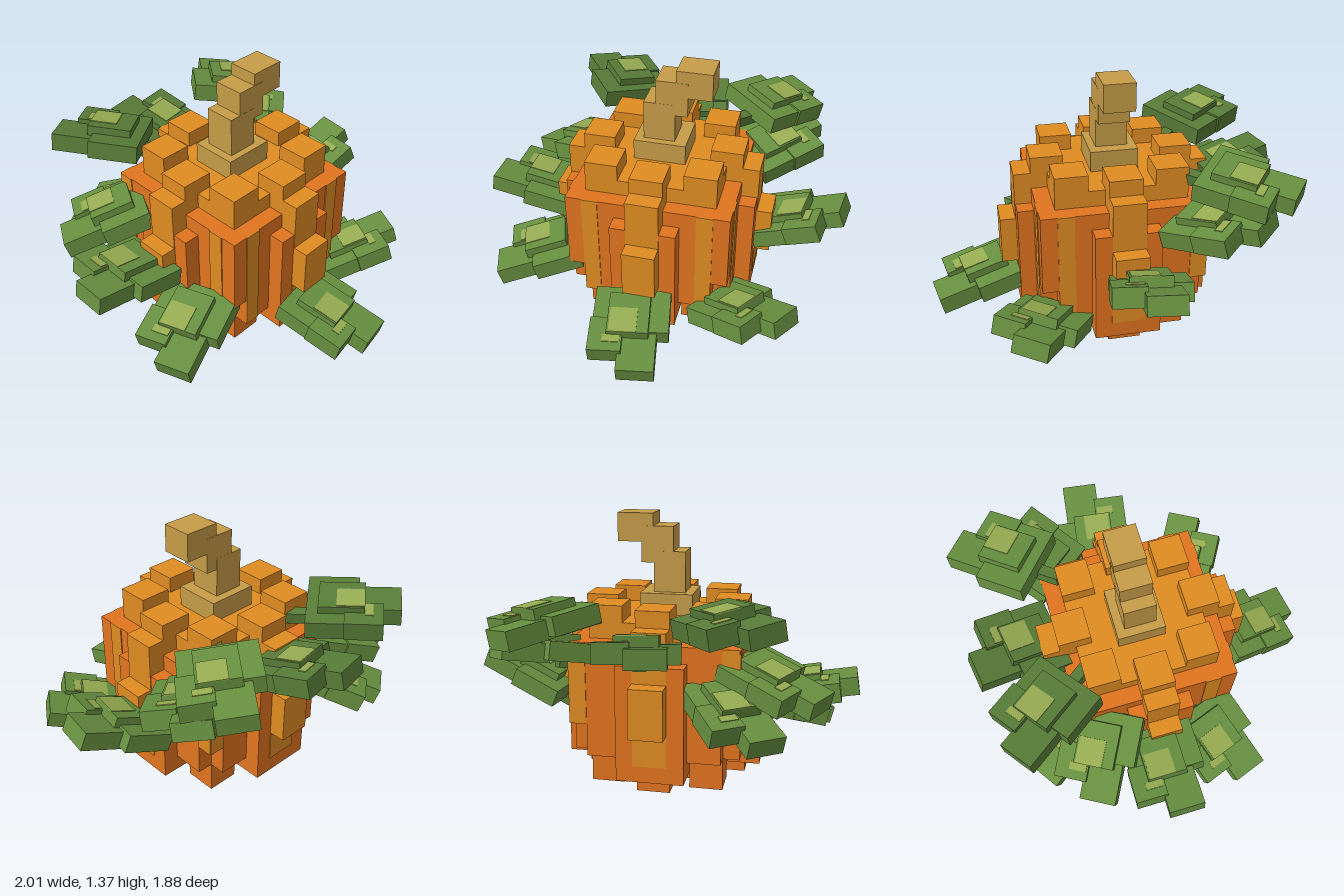
import * as THREE from 'three';

const mat = (name, hex) => {
  const m = new THREE.MeshStandardMaterial({ color: hex });
  m.name = name;
  return m;
};

// box given by its min and max on each axis
function block(parent, name, material, x0, x1, y0, y1, z0, z1) {
  const mesh = new THREE.Mesh(new THREE.BoxGeometry(x1 - x0, y1 - y0, z1 - z0), material);
  mesh.position.set((x0 + x1) / 2, (y0 + y1) / 2, (z0 + z1) / 2);
  mesh.name = name;
  parent.add(mesh);
}

export function createModel() {
  const model = new THREE.Group();
  model.name = 'pumpkin';
  const orange = mat('deep orange', 0xe27420);
  const amber = mat('amber orange', 0xe08c22);
  const wood = mat('stem brown', 0xc69c48);
  const green = mat('leaf green', 0x678f40);
  const darkGreen = mat('dark leaf green', 0x587c38);
  const lightGreen = mat('light leaf green', 0x96ac52);

  const fruit = new THREE.Group();
  fruit.name = 'fruit';
  fruit.position.z = -0.045;
  model.add(fruit);
  const u = 0.0855; // one step of the blocky body

  // stacked core; the lower part has notched corners
  const layer = (name, m, rx, rz, y0, y1) => block(fruit, name, m, -rx, rx, y0, y1, -rz, rz);
  layer('coreBottom', orange, 4 * u, 4 * u, u, 2 * u);
  layer('coreLower', orange, 5 * u, 4 * u, 2 * u, 4 * u);
  layer('coreLower', orange, 4 * u, 5 * u, 2 * u, 4 * u);
  layer('coreMiddle', orange, 5 * u, 5 * u, 4 * u, 9 * u);
  layer('coreTop', amber, 4 * u, 4 * u, 9 * u, 10 * u);

  // four side ribs
  for (let i = 0; i < 4; i++) {
    const rib = new THREE.Group();
    rib.name = 'sideRib';
    rib.rotation.y = i * Math.PI / 2;
    fruit.add(rib);
    block(rib, 'ribShoulder', orange, -2 * u, 2 * u, u, 8 * u, 4 * u, 6 * u);
    block(rib, 'ribTop', amber, -u, u, 9 * u, 11 * u, 3 * u, 5 * u);
    block(rib, 'ribFace', amber, -u, u, 2 * u, 10 * u, 4.5 * u, 6 * u + 0.004);
    block(rib, 'ribOuter', amber, -u, u, 4 * u, 7 * u, 5 * u, 7 * u);
    block(rib, 'ribFoot', orange, -u, u, 0, 2 * u, 3 * u, 5 * u);
    block(rib, 'innerFoot', orange, -2 * u, 2 * u, 0.01, u, 1.5 * u, 3 * u);
  }

  // corner blocks with painted stripes
  for (const sx of [-1, 1]) for (const sz of [-1, 1]) {
    const corner = new THREE.Group();
    corner.name = 'cornerRib';
    corner.position.set(sx * 3 * u, 0, sz * 3 * u);
    fruit.add(corner);
    block(corner, 'cornerTop', amber, -u, u, 10 * u, 11 * u, -u, u);
    block(corner, 'cornerFoot', orange, -u, u, 0, u, -u, u);
    const s = sz > 0 ? 0.5 * u : 1.5 * u;
    const y0 = sz > 0 ? 2 * u : 4 * u;
    const out = 2 * u + 0.002;
    const h = u / 2;
    block(corner, 'stripe', amber, sx * s - h, sx * s + h, y0, 9 * u, sz * out - 0.003, sz * out + 0.003);
    block(corner, 'stripe', amber, sx * out - 0.003, sx * out + 0.003, y0, 9 * u, sz * s - h, sz * s + h);
  }

  // crooked stem
  const stem = new THREE.Group();
  stem.name = 'stem';
  model.add(stem);
  block(stem, 'stemBase', wood, -0.145, 0.13, 0.84, 0.965, -0.175, 0.075);
  block(stem, 'stemLower', wood, -0.1, 0.065, 0.965, 1.177, -0.13, 0.037);
  block(stem, 'stemMiddle', wood, -0.037, 0.13, 1.117, 1.305, -0.129, 0.036);
  block(stem, 'stemTip', wood, 0.068, 0.255, 1.223, 1.37, -0.128, 0.035);

  // leaf: broad base, middle tip and one shorter lobe, lying along local +z
  function leaf(name, m, x, y, z, yaw, pitch, roll) {
    const g = new THREE.Group();
    g.name = name;
    g.position.set(x, y, z);
    const d = Math.PI / 180;
    g.rotation.set(pitch * d, yaw * d, roll * d, 'YXZ');
    block(g, 'leafBase', m, -0.19, 0.2, -0.05, 0.045, -0.23, 0.03);
    block(g, 'leafLobe', m, -0.2, -0.03, -0.045, 0.055, -0.04, 0.15);
    block(g, 'leafTip', m, -0.05, 0.14, -0.065, 0.03, 0, 0.24);
    block(g, 'leafRidge', m, -0.11, 0.1, -0.04, 0.085, -0.17, 0.06);
    block(g, 'leafStalk', darkGreen, -0.03, 0.03, -0.09, -0.03, -0.34, -0.1);
    // pale patch
    block(g, 'leafPatch', lightGreen, -0.1, 0.04, 0.083, 0.089, -0.08, 0.06);
    block(g, 'leafPatch', lightGreen, -0.13, -0.04, 0.053, 0.059, 0.06, 0.1);
    model.add(g);
  }
  leaf('frontLeaf', green, -0.01, 0.22, 0.69, 10, 13, 0);
  leaf('frontLeftLeaf', green, 0.53, 0.22, 0.41, 60, -16, -5);
  leaf('leftLeaf', green, 0.74, 0.5, -0.1, 82, -23, 0);
  leaf('upperBackLeftLeaf', green, 0.52, 0.9, -0.64, 142, 6, 8);
  leaf('lowerBackLeftLeaf', green, 0.57, 0.73, -0.48, 130, -12, 10);
  leaf('backLeaf', darkGreen, 0.02, 0.79, -0.69, 190, -14, 0);
  leaf('upperBackRightLeaf', darkGreen, -0.4, 0.93, -0.64, -143, -4, 8);
  leaf('middleBackRightLeaf', green, -0.6, 0.6, -0.42, -118, 16, 4);
  leaf('lowerBackRightLeaf', green, -0.42, 0.48, -0.57, -145, 18, 0);
  leaf('rightLeaf', green, -0.76, 0.5, -0.1, -90, -10, 0);
  leaf('frontRightLeaf', green, -0.65, 0.28, 0.25, -70, 15, 0);

  return model;
}
